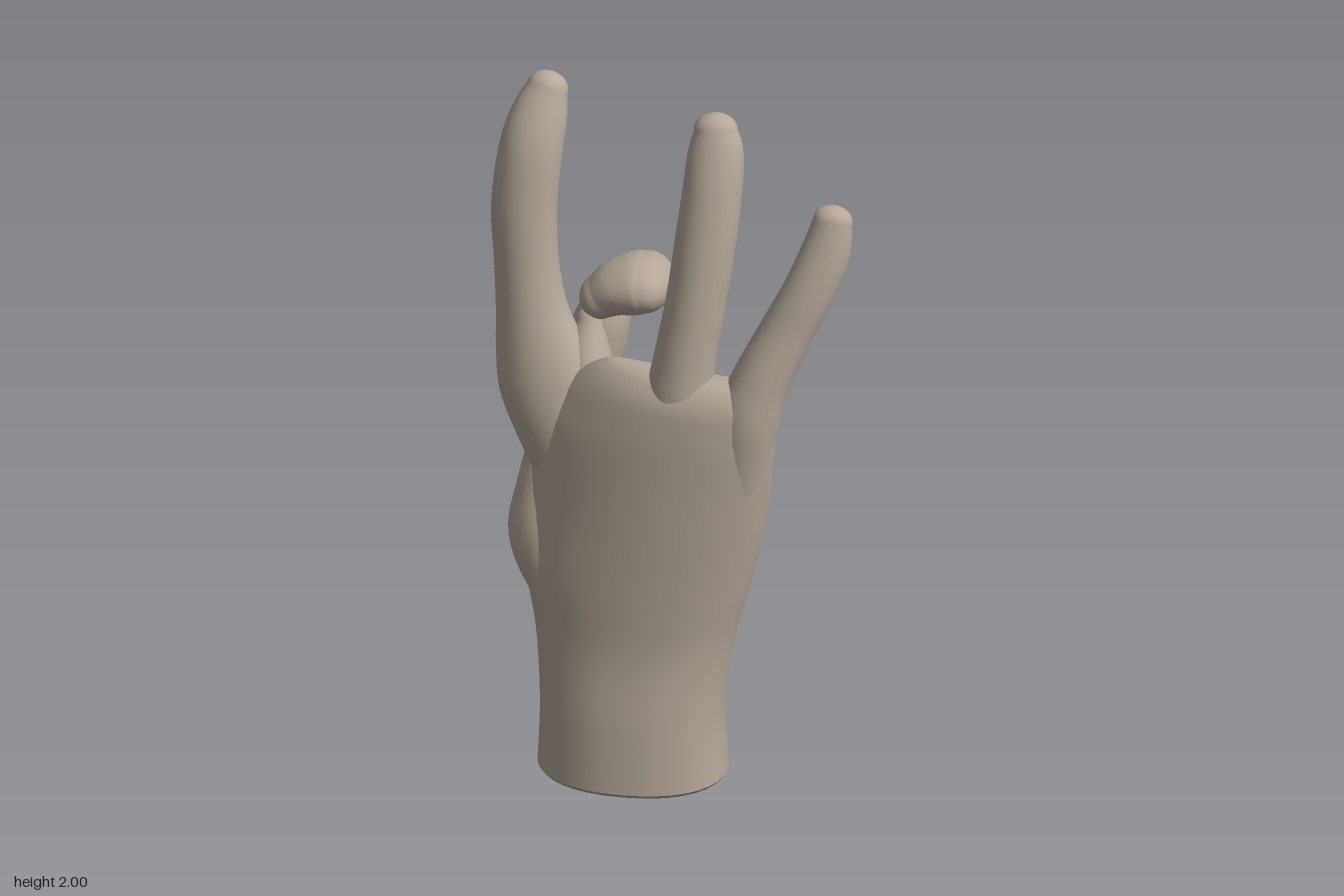
import * as THREE from 'three';

const SEG = 36;
const material = new THREE.MeshStandardMaterial({ color: 0xb5a899 });

// Skin a list of rings (arrays of SEG points) into a smooth surface
function skin(name, rings) {
  const index = [];
  for (let r = 0; r < rings.length - 1; r++) {
    for (let i = 0; i < SEG; i++) {
      const j = (i + 1) % SEG;
      const a = r * SEG + i, b = r * SEG + j;
      index.push(a, a + SEG, b, b, a + SEG, b + SEG);
    }
  }
  const geo = new THREE.BufferGeometry().setFromPoints(rings.flat());
  geo.setIndex(index);
  geo.computeVertexNormals();
  const mesh = new THREE.Mesh(geo, material);
  mesh.name = name;
  return mesh;
}

// Catmull-Rom blend through rows of numbers, t in 0..1
function sample(rows, t) {
  const n = rows.length - 1;
  const k = Math.min(Math.floor(t * n), n - 1), f = t * n - k;
  const at = i => rows[Math.max(0, Math.min(n, i))];
  return rows[0].map((_, c) => {
    const [p, q, r, s] = [at(k - 1)[c], at(k)[c], at(k + 1)[c], at(k + 2)[c]];
    return q + 0.5 * f * (r - p + f * (2 * p - 5 * q + 4 * r - s + f * (3 * (q - r) + s - p)));
  });
}

// Finger: rows of [x, y, z, side radius, depth radius], both ends rounded
function finger(name, rows, steps = 36) {
  const frames = [];
  for (let k = 0; k <= steps; k++) {
    const t = k / steps;
    const [x, y, z, rs, rd] = sample(rows, t);
    const a = sample(rows, Math.max(0, t - 0.01)), b = sample(rows, Math.min(1, t + 0.01));
    const tan = new THREE.Vector3(b[0] - a[0], b[1] - a[1], b[2] - a[2]).normalize();
    const side = tan.clone().cross(new THREE.Vector3(0, 0, 1)).normalize();
    frames.push({ c: new THREE.Vector3(x, y, z), tan, side, depth: side.clone().cross(tan), rs, rd });
  }
  const ring = (f, scale, shift) => Array.from({ length: SEG }, (_, i) => {
    const a = i / SEG * Math.PI * 2;
    return f.c.clone().addScaledVector(f.tan, shift)
      .addScaledVector(f.side, Math.cos(a) * f.rs * scale)
      .addScaledVector(f.depth, Math.sin(a) * f.rd * scale);
  });
  const cap = (f, sign) => Array.from({ length: 8 }, (_, i) => {
    const a = (i + 1) / 8 * Math.PI / 2;
    return ring(f, Math.max(Math.cos(a), 0.001), sign * Math.sin(a) * Math.min(f.rs, f.rd));
  });
  return skin(name, [
    ...cap(frames[0], -1).reverse(),
    ...frames.map(f => ring(f, 1, 0)),
    ...cap(frames[steps], 1),
  ]);
}

// Palm and wrist: [y, left x, right x, centre z, half depth, tilt, arch]
const palmRows = [
  [0.01, -0.355, 0.163, 0.05, 0.197, 0.0, 0],
  [0.2, -0.35, 0.155, 0.048, 0.19, 0.02, 0],
  [0.4, -0.365, 0.18, 0.047, 0.17, 0.06, 0.01],
  [0.6, -0.4, 0.23, 0.057, 0.152, 0.11, 0.03],
  [0.8, -0.39, 0.275, 0.07, 0.13, 0.16, 0.05],
  [1.0, -0.37, 0.3, 0.083, 0.108, 0.2, 0.05],
  [1.1, -0.32, 0.31, 0.09, 0.097, 0.2, 0.05],
  [1.18, -0.25, 0.305, 0.1, 0.082, 0.19, 0.04],
  [1.23, -0.19, 0.285, 0.105, 0.055, 0.18, 0.03],
  [1.25, -0.13, 0.24, 0.107, 0.025, 0.18, 0.02],
  [1.253, 0.03, 0.07, 0.107, 0.002, 0.18, 0.0],
];

function palmRing(t) {
  const [y, l, r, z, d, tilt, arch] = sample(palmRows, t);
  const w = (r - l) / 2;
  return Array.from({ length: SEG }, (_, i) => {
    const a = i / SEG * Math.PI * 2;
    const c = Math.cos(a), s = Math.sin(a);
    const u = Math.sign(c) * Math.abs(c) ** 0.9, v = Math.sign(s) * Math.abs(s) ** 0.9;
    return new THREE.Vector3((l + r) / 2 + u * w, y, z + v * d + tilt * u * w + arch * (0.35 - u * u));
  });
}

export function createModel() {
  const hand = new THREE.Group();
  hand.name = 'hand';

  const rings = Array.from({ length: 81 }, (_, k) => palmRing(k / 80));
  hand.add(skin('palmAndWrist', rings));

  // Flat cut at the wrist, slightly inset at its rim
  const centre = new THREE.Vector3(-0.096, 0, 0.05);
  const rim = rings[0].map(p => p.clone().lerp(centre, 0.03).setY(0));
  hand.add(skin('wristCut', [rim.map(() => centre.clone()), rim, rings[0].map(p => p.clone())]));

  // Broad root set behind the edge of the palm
  hand.add(finger('indexFinger', [
    [-0.25, 0.84, 0.0, 0.11, 0.07],
    [-0.305, 1.0, -0.01, 0.128, 0.085],
    [-0.345, 1.12, -0.03, 0.137, 0.092],
    [-0.375, 1.23, -0.045, 0.117, 0.088],
    [-0.395, 1.33, -0.055, 0.097, 0.082],
    [-0.41, 1.46, -0.065, 0.088, 0.078],
    [-0.418, 1.62, -0.075, 0.09, 0.075],
    [-0.405, 1.78, -0.095, 0.087, 0.072],
    [-0.385, 1.88, -0.125, 0.077, 0.063],
    [-0.367, 1.95, -0.147, 0.057, 0.047],
  ]));

  hand.add(finger('ringFinger', [
    [0.03, 1.0, 0.1, 0.08, 0.07],
    [0.042, 1.15, 0.11, 0.1, 0.08],
    [0.052, 1.27, 0.105, 0.086, 0.08],
    [0.082, 1.46, 0.088, 0.082, 0.078],
    [0.105, 1.64, 0.067, 0.083, 0.073],
    [0.12, 1.79, 0.042, 0.081, 0.067],
    [0.125, 1.89, 0.02, 0.076, 0.058],
    [0.122, 1.95, 0.005, 0.06, 0.048],
  ]));

  hand.add(finger('littleFinger', [
    [0.2, 0.92, 0.12, 0.075, 0.07],
    [0.225, 1.12, 0.122, 0.09, 0.085],
    [0.265, 1.25, 0.115, 0.08, 0.077],
    [0.333, 1.4, 0.095, 0.073, 0.066],
    [0.39, 1.52, 0.08, 0.07, 0.06],
    [0.432, 1.63, 0.06, 0.067, 0.053],
    [0.451, 1.725, 0.045, 0.054, 0.042],
  ]));

  // Thumb rises from its mound on the palm side
  hand.add(finger('thumb', [
    [-0.22, 0.42, 0.03, 0.06, 0.1],
    [-0.28, 0.54, 0.01, 0.11, 0.12],
    [-0.31, 0.66, -0.02, 0.14, 0.125],
    [-0.315, 0.78, -0.055, 0.12, 0.112],
    [-0.31, 0.92, -0.085, 0.092, 0.087],
    [-0.28, 1.05, -0.11, 0.088, 0.09],
    [-0.24, 1.17, -0.145, 0.085, 0.097],
    [-0.215, 1.26, -0.15, 0.075, 0.09],
    [-0.205, 1.33, -0.15, 0.058, 0.07],
  ]));

  // Skin between thumb, index root and palm
  hand.add(finger('thumbWeb', [
    [-0.22, 1.0, 0.0, 0.09, 0.08],
    [-0.235, 1.12, -0.04, 0.075, 0.08],
    [-0.24, 1.2, -0.07, 0.06, 0.07],
    [-0.235, 1.27, -0.1, 0.045, 0.05],
  ], 16));

  // Folded finger, curled over onto the thumb
  hand.add(finger('foldedFingertip', [
    [-0.215, 1.335, -0.125, 0.06, 0.08],
    [-0.17, 1.365, -0.128, 0.074, 0.1],
    [-0.12, 1.382, -0.13, 0.081, 0.112],
    [-0.095, 1.387, -0.13, 0.078, 0.11],
  ], 16));

  return hand;
}
